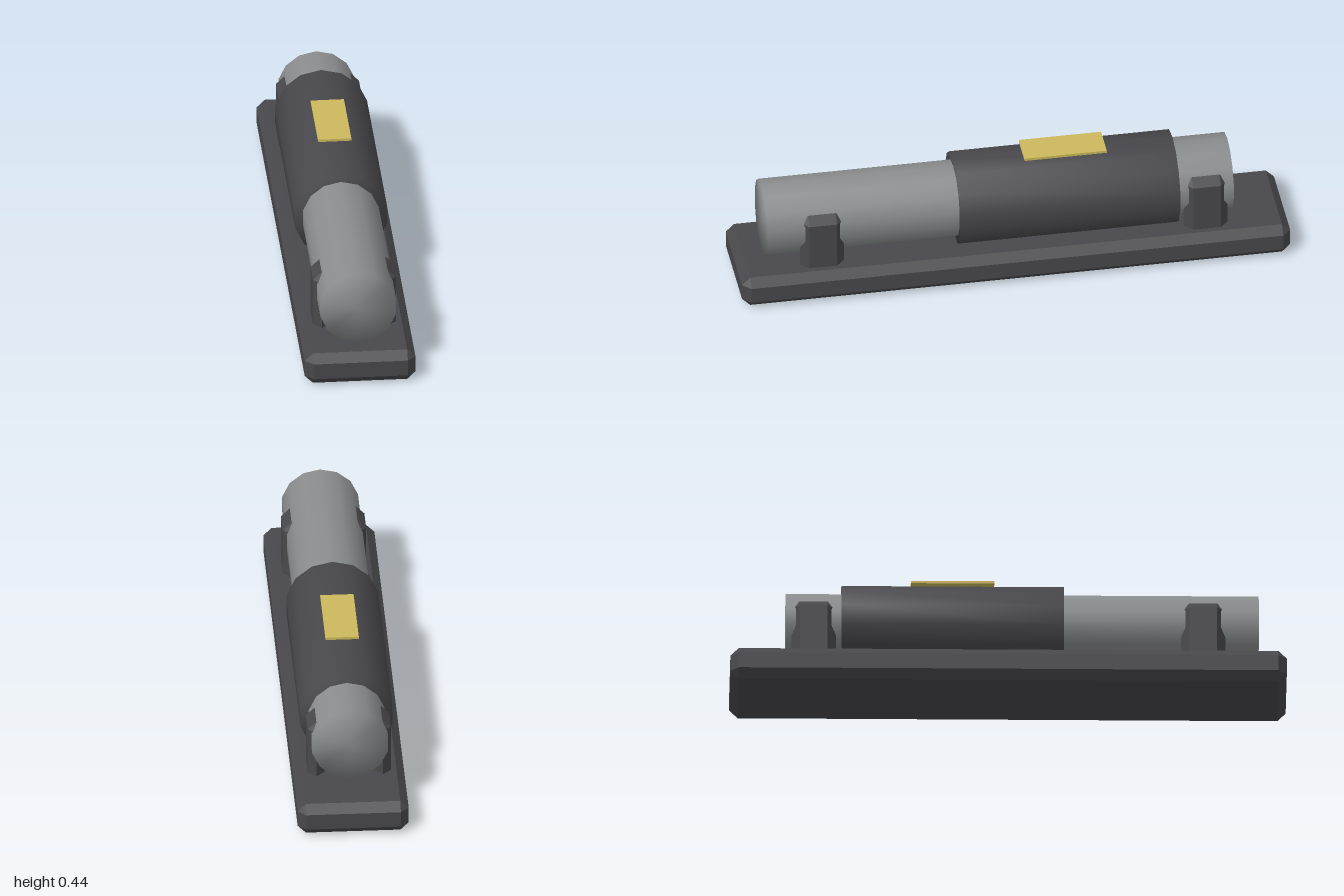
import * as THREE from 'three';
import { mergeVertices } from 'three/addons/utils/BufferGeometryUtils.js';
import { ConvexGeometry } from 'three/addons/geometries/ConvexGeometry.js';

const material = (name, color) => {
  const m = new THREE.MeshStandardMaterial({ color });
  m.name = name;
  return m;
};

// Box with every edge cut at 45 degrees
function chamferBox(w, h, d, c) {
  const half = [w / 2, h / 2, d / 2];
  const points = new Map();
  for (const sx of [-1, 1]) for (const sy of [-1, 1]) for (const sz of [-1, 1]) {
    for (let axis = 0; axis < 3; axis++) {
      const p = [sx, sy, sz].map((s, i) => s * (half[i] - (i === axis ? 0 : c)));
      // the key drops points that coincide on a ridge
      points.set(p.map(v => Math.round(v * 1e4) + 0).join(), new THREE.Vector3(...p));
    }
  }
  return new ConvexGeometry([...points.values()]);
}

// 14-sided cylinder along z, shaded smoothly across its end caps
function smoothCylinder(radius, z0, z1) {
  let g = new THREE.CylinderGeometry(radius, radius, z1 - z0, 14);
  g.deleteAttribute('uv');
  g.deleteAttribute('normal');
  g = mergeVertices(g, 1e-4);
  g.computeVertexNormals();
  g.rotateX(Math.PI / 2);
  g.translate(0, 0.26, (z0 + z1) / 2);
  return g;
}

export function createModel() {
  const group = new THREE.Group();
  const dark = material('dark casing', 0x48474b);
  const metal = material('grey metal', 0x8a8c8d);
  const gold = material('yellow label', 0xccb85c);

  const add = (name, geometry, mat, x = 0, y = 0, z = 0) => {
    const mesh = new THREE.Mesh(geometry, mat);
    mesh.name = name;
    mesh.position.set(x, y, z);
    group.add(mesh);
  };

  add('base', chamferBox(0.4, 0.12, 2, 0.03), dark, 0, 0.06, 0);
  add('innerTube', smoothCylinder(0.14, -0.8, 0.9), metal);
  add('sleeve', smoothCylinder(0.17, -0.6, 0.2), dark);

  // Ridge-topped clamp posts on both sides of the tube
  const post = chamferBox(0.06, 0.24, 0.16, 0.03);
  for (const [end, z] of [['front', 0.7], ['rear', -0.7]]) {
    for (const [side, x] of [['Left', 0.12], ['Right', -0.12]]) {
      add(`${end}${side}Post`, post, dark, x, 0.21, z);
    }
  }

  // Thin plate just above the sleeve
  add('labelPlate', new THREE.BoxGeometry(0.12, 0.0095, 0.3), gold, 0, 0.437, -0.2);
  return group;
}
